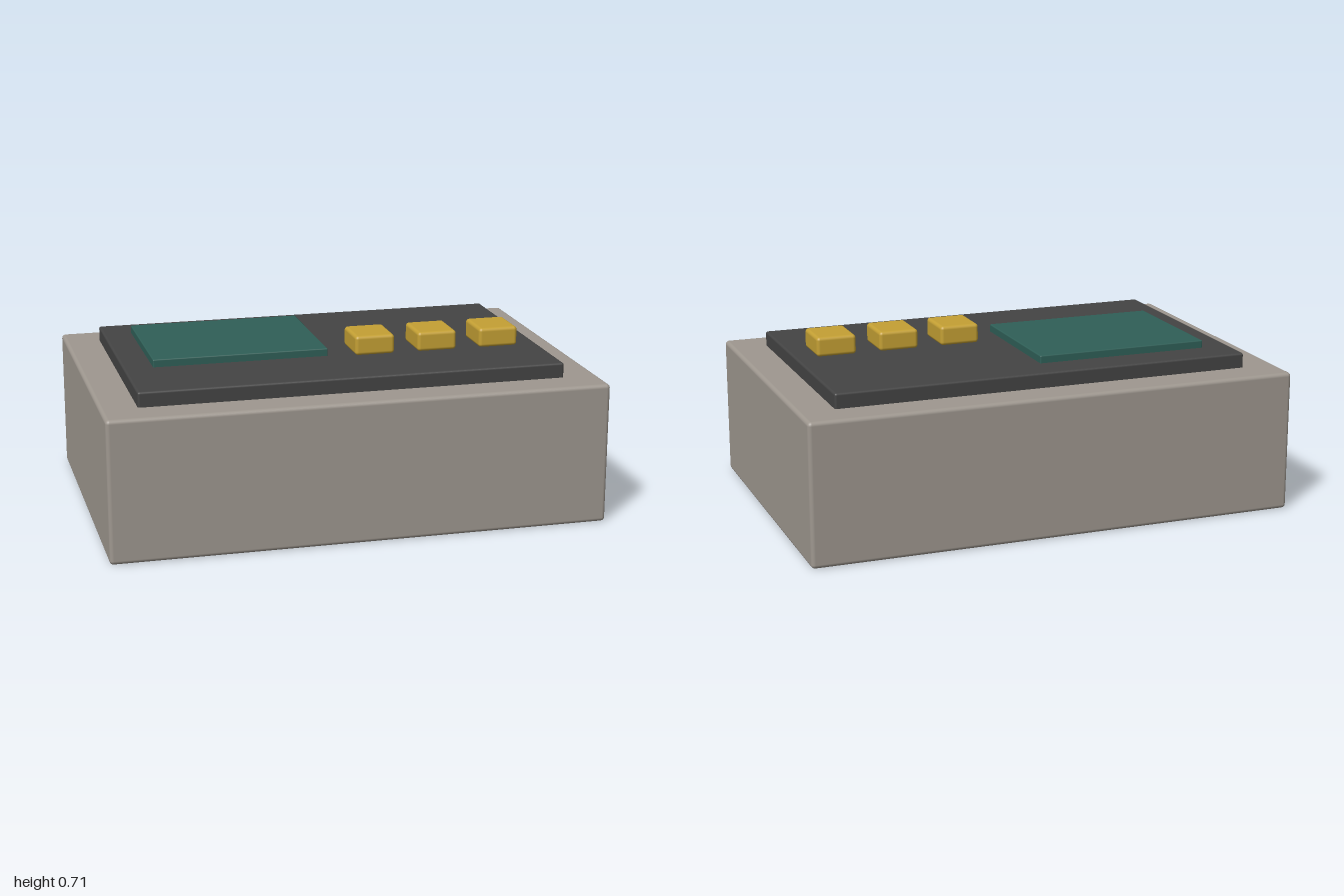
import * as THREE from 'three';
import { RoundedBoxGeometry } from 'three/addons/geometries/RoundedBoxGeometry.js';

const material = (name, color) => {
  const m = new THREE.MeshStandardMaterial({ color });
  m.name = name;
  return m;
};

// Rounded block given by its minimum and maximum on each axis
function block(name, [x0, x1], [y0, y1], [z0, z1], radius, mat) {
  const geometry = new RoundedBoxGeometry(x1 - x0, y1 - y0, z1 - z0, 3, radius);
  const mesh = new THREE.Mesh(geometry, mat);
  mesh.name = name;
  mesh.position.set((x0 + x1) / 2, (y0 + y1) / 2, (z0 + z1) / 2);
  return mesh;
}

export function createModel() {
  const model = new THREE.Group();
  model.name = 'controlBox';
  const casing = material('warm grey casing', 0x9e978f);
  const charcoal = material('charcoal panel', 0x444444);
  const green = material('dark green screen', 0x2f5f57);
  const gold = material('gold button', 0xc4a034);

  // Housing, raised panel and display
  model.add(block('housing', [-1, 1], [0, 0.572], [-0.665, 0.665], 0.016, casing));
  model.add(block('panel', [-0.856, 0.856], [0.55, 0.632], [-0.523, 0.523], 0.009, charcoal));
  model.add(block('screen', [-0.74, -0.028], [0.615, 0.663], [-0.384, 0.186], 0.005, green));

  // Row of three buttons
  for (let i = 0; i < 3; i++) {
    const x = 0.163 + i * 0.262;
    model.add(block(`button${i + 1}`, [x - 0.082, x + 0.082], [0.63, 0.71], [0.025, 0.211], 0.014, gold));
  }
  return model;
}
